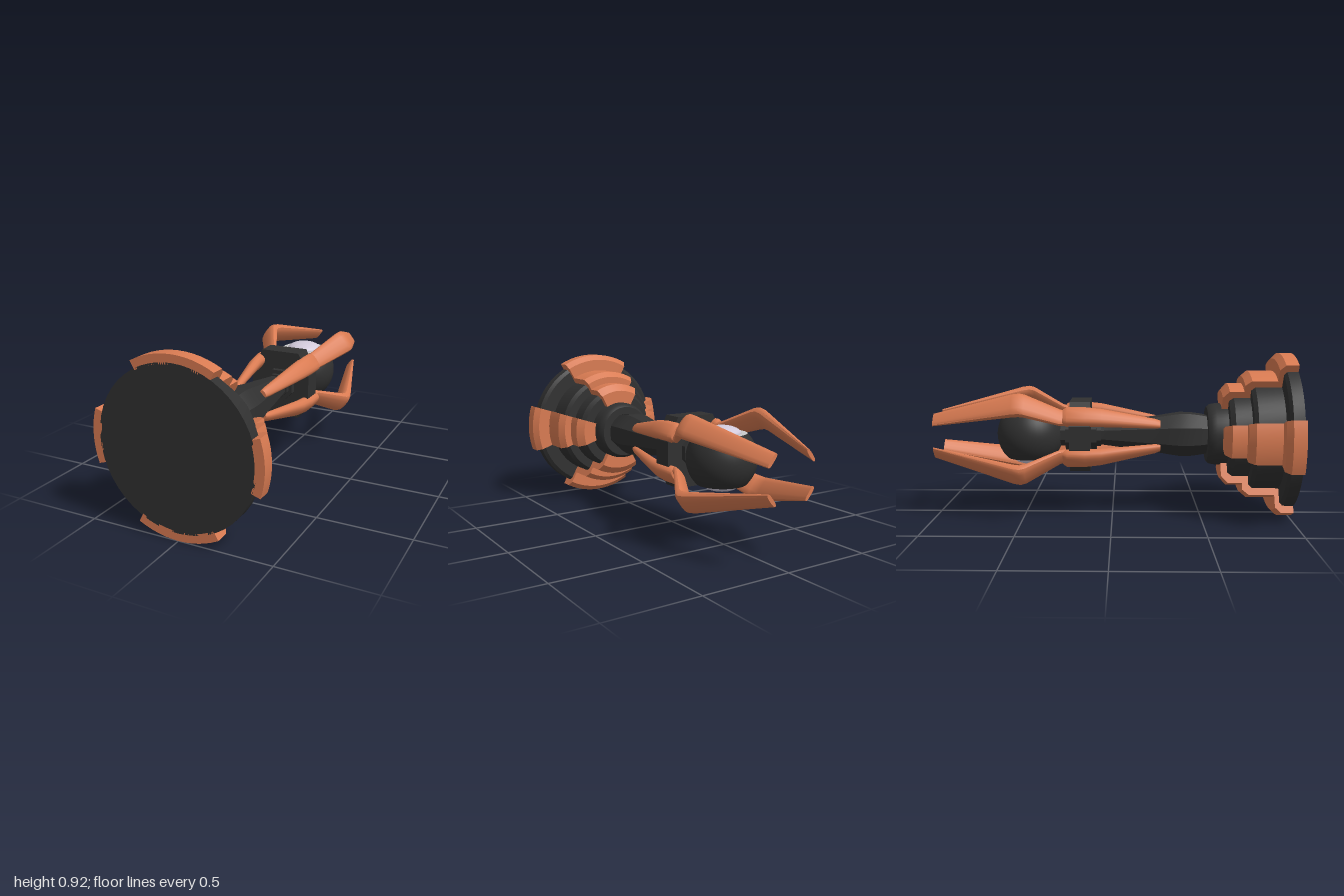
import * as THREE from 'three';
import { toCreasedNormals } from 'three/addons/utils/BufferGeometryUtils.js';

const mat = (color, side = THREE.FrontSide) => new THREE.MeshStandardMaterial({ color, side });
const copper = mat(0xd97b52, THREE.DoubleSide);
const dark = mat(0x303030);
const white = mat(0xffffff);
const lilac = mat(0xd2cadb);
const rad = THREE.MathUtils.degToRad;

function add(parent, name, geometry, material) {
  const mesh = new THREE.Mesh(geometry, material);
  mesh.name = name;
  parent.add(mesh);
  return mesh;
}

// Turned part from [radius, height] pairs
function turned(profile, segments, start = 0, length = Math.PI * 2) {
  const pts = profile.map(([r, h]) => new THREE.Vector2(r, h));
  return toCreasedNormals(new THREE.LatheGeometry(pts, segments, start, length), 0.6);
}

// Loft of rounded sections [height, distance from axis, half width, half thickness]
function loft(sections, n = 16) {
  const pos = [], index = [];
  const soft = v => Math.sign(v) * Math.pow(Math.abs(v), 0.75);
  for (const [h, R, w, t] of sections)
    for (let i = 0; i < n; i++) {
      const a = (i / n) * Math.PI * 2;
      pos.push(R + t * soft(Math.cos(a)), h, w * soft(Math.sin(a)));
    }
  const last = (sections.length - 1) * n;
  for (let s = 0; s < last; s += n)
    for (let i = 0; i < n; i++) {
      const a = s + i, b = s + (i + 1) % n;
      index.push(a, a + n, b, b, a + n, b + n);
    }
  for (let i = 1; i < n - 1; i++) index.push(0, i, i + 1, last, last + i + 1, last + i);
  const g = new THREE.BufferGeometry();
  g.setAttribute('position', new THREE.Float32BufferAttribute(pos, 3));
  g.setIndex(index);
  return toCreasedNormals(g, 0.6);
}

export function createModel() {
  const model = new THREE.Group();
  model.name = 'clawStaff';

  // Body is built upright, then laid down pointing to the back
  const body = new THREE.Group();
  body.name = 'body';
  body.rotation.x = -Math.PI / 2;
  body.position.set(0, 0.46, 1);
  model.add(body);

  // Stepped base with collar
  add(body, 'base', turned([
    [0, 0], [0.42, 0], [0.42, 0.06], [0.4, 0.075], [0.32, 0.075], [0.32, 0.22], [0.3, 0.24],
    [0.25, 0.24], [0.25, 0.33], [0.23, 0.355], [0.175, 0.355], [0.175, 0.42], [0.17, 0.45],
    [0.155, 0.467], [0.11, 0.467], [0.1, 0.44], [0, 0.44],
  ], 48), dark);

  // Four stepped plates clasping the base
  const plate = [
    [0.41, 0], [0.46, 0], [0.46, 0.07], [0.43, 0.1], [0.36, 0.1], [0.36, 0.24], [0.33, 0.275],
    [0.29, 0.275], [0.29, 0.355], [0.25, 0.39], [0.17, 0.39], [0.17, 0.35], [0.23, 0.35],
    [0.25, 0.33], [0.25, 0.235], [0.3, 0.235], [0.32, 0.22], [0.32, 0.07], [0.4, 0.07],
    [0.41, 0.06],
  ];
  const plateEnd = new THREE.ShapeGeometry(new THREE.Shape(plate.map(p => new THREE.Vector2(...p))));
  for (let k = 0; k < 4; k++) {
    const half = rad(k % 2 ? 18 : 28.5), mid = k * Math.PI / 2;
    const group = new THREE.Group();
    group.name = 'basePlate';
    body.add(group);
    add(group, 'plateShell', turned([...plate, plate[0]], 12, mid - half, half * 2), copper);
    for (const s of [-1, 1])
      add(group, 'plateEnd', plateEnd, copper).rotation.y = mid + s * half - Math.PI / 2;
  }

  // Eight-sided swelling handle
  const k8 = 1 / Math.cos(Math.PI / 8);
  const handle = [[0.1, 0.44], [0.112, 0.5], [0.12, 0.56], [0.12, 0.62], [0.11, 0.69], [0.098, 0.76],
    [0.085, 0.87], [0.07, 0.98], [0.06, 1.06], [0.06, 1.12]];
  add(body, 'handle', turned(handle.map(([r, h]) => [r * k8, h]), 8, Math.PI / 8), dark);

  // Stepped rings either side of the guard
  for (const [r, h, len] of [[0.068, 1.08, 0.03], [0.09, 1.105, 0.03], [0.09, 1.25, 0.03], [0.065, 1.28, 0.05]]) {
    const ring = add(body, 'neckRing', new THREE.CylinderGeometry(r * k8, r * k8, len, 8), dark);
    ring.geometry = toCreasedNormals(ring.geometry, 0.5);
    ring.position.y = h;
    ring.rotation.y = Math.PI / 8;
  }

  // Elongated octagonal guard
  const outline = [[0.115, 0.195], [-0.115, 0.195], [-0.18, 0.065], [-0.18, -0.065],
    [-0.115, -0.195], [0.115, -0.195], [0.18, -0.065], [0.18, 0.065]];
  const guard = add(body, 'guard', new THREE.ExtrudeGeometry(
    new THREE.Shape(outline.map(p => new THREE.Vector2(...p))), { depth: 0.115, bevelEnabled: false }), dark);
  guard.rotation.x = -Math.PI / 2;
  guard.position.y = 1.122;

  // Four arms along the handle, each with a bent claw
  const armShape = loft([[0.73, 0.108, 0.022, 0.014], [0.76, 0.115, 0.028, 0.02], [1.06, 0.178, 0.052, 0.034],
    [1.15, 0.188, 0.056, 0.036], [1.25, 0.188, 0.056, 0.036], [1.272, 0.185, 0.045, 0.026]]);
  const clawShape = loft([[1.25, 0.17, 0.045, 0.02], [1.29, 0.18, 0.05, 0.022], [1.47, 0.303, 0.067, 0.032],
    [1.5, 0.312, 0.068, 0.034], [1.54, 0.305, 0.067, 0.033], [2, 0.15, 0.04, 0.01]]);
  for (const angle of [38, 142, 218, 322]) {
    const arm = new THREE.Group();
    arm.name = 'arm';
    arm.rotation.y = rad(angle);
    body.add(arm);
    add(arm, 'armBrace', armShape, copper);
    add(arm, 'claw', clawShape, copper);
  }

  // Orb held by the claws, with an eye above and below
  const orb = new THREE.Group();
  orb.name = 'orb';
  orb.position.set(0, 0.46, -0.47);
  model.add(orb);
  const cut = Math.asin(0.132 / 0.188);
  add(orb, 'orbShell', new THREE.SphereGeometry(0.188, 40, 24, 0, Math.PI * 2, cut, Math.PI - 2 * cut), dark);
  for (const s of [0, 1]) {
    const eye = new THREE.Group();
    eye.name = 'eye';
    eye.rotation.x = s * Math.PI;
    orb.add(eye);
    const rim = add(eye, 'eyeRim', new THREE.RingGeometry(0.095, 0.133, 40), white);
    rim.rotation.x = -Math.PI / 2;
    rim.position.y = 0.133;
    const lens = add(eye, 'lens', new THREE.SphereGeometry(0.1, 32, 10, 0, Math.PI * 2, 0, Math.PI / 2), lilac);
    lens.scale.y = 0.4;
    lens.position.y = 0.133;
  }
  return model;
}
